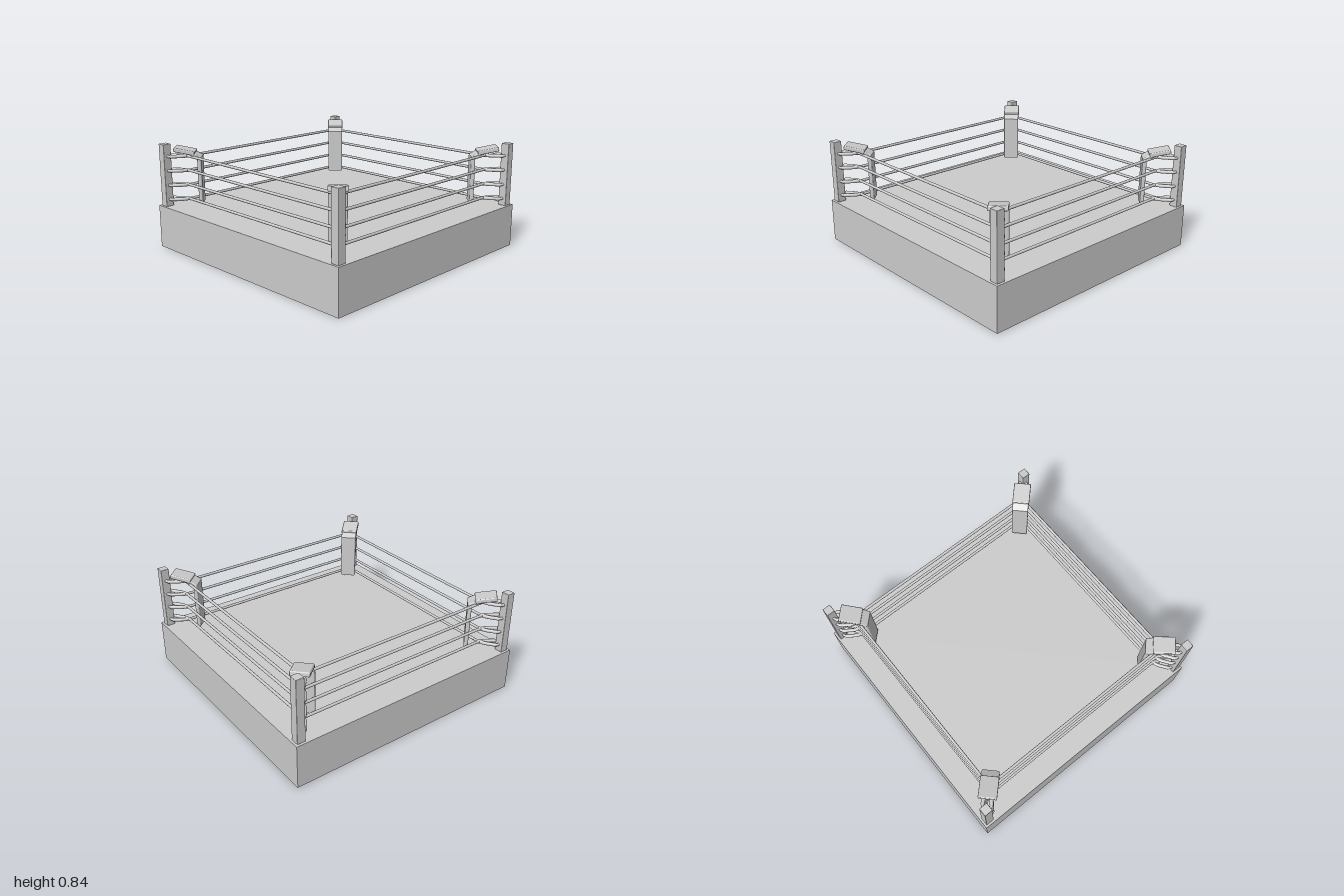
import * as THREE from 'three';
import { RoundedBoxGeometry } from 'three/addons/geometries/RoundedBoxGeometry.js';

const grey = new THREE.MeshStandardMaterial({ color: 0xcccccc });
const greyThin = new THREE.MeshStandardMaterial({ color: 0xcccccc, side: THREE.DoubleSide });

const DECK = 0.343;
const POST = 0.95;
const ROPE = 0.825;
const ROPE_HEIGHTS = [0.398, 0.513, 0.63, 0.745];

function add(parent, name, geometry, material = grey) {
  const mesh = new THREE.Mesh(geometry, material);
  mesh.name = name;
  parent.add(mesh);
  return mesh;
}

// Box shell without its bottom face
function platformGeometry() {
  const g = new THREE.BoxGeometry(2, DECK, 2);
  const index = Array.from(g.index.array);
  index.splice(18, 6);
  g.setIndex(index);
  g.clearGroups();
  return g.translate(0, DECK / 2, 0);
}

// Upright cushion whose top bends outwards; +z points away from the centre
function cushionGeometry() {
  const profile = new THREE.Shape([
    [1.053, 0.375], [1.085, 0.375], [1.085, 0.725],
    [1.145, 0.765], [1.13, 0.79], [1.053, 0.745],
  ].map(([r, y]) => new THREE.Vector2(r, y)));
  const width = 0.128, bevel = 0.01;
  const g = new THREE.ExtrudeGeometry(profile, {
    depth: width - 2 * bevel, bevelSize: bevel, bevelOffset: -bevel,
    bevelThickness: bevel, bevelSegments: 3,
  });
  return g.translate(0, 0, -width / 2 + bevel).rotateY(-Math.PI / 2);
}

// Bent rope end, from the post to the straight run
function ropeEnd(side) {
  return [[0.95, 0.925], [0.942, 0.895], [0.905, 0.868], [0.865, 0.842], [0.82, 0.827], [0.77, ROPE]]
    .map(([x, z]) => new THREE.Vector3(side * x, 0, z));
}

function createRope() {
  const rope = new THREE.Group();
  rope.name = 'rope';
  const run = new THREE.CylinderGeometry(0.011, 0.011, 1.56, 10);
  add(rope, 'ropeRun', run.rotateZ(Math.PI / 2).translate(0, 0, ROPE));
  for (const side of [-1, 1]) {
    const curve = new THREE.CatmullRomCurve3(ropeEnd(side));
    add(rope, 'ropeEnd', new THREE.TubeGeometry(curve, 20, 0.011, 10));
    // Thicker sleeve around the bend
    const sleeve = new THREE.CatmullRomCurve3(ropeEnd(side).slice(1, 5));
    add(rope, 'ropeSleeve', new THREE.TubeGeometry(sleeve, 14, 0.014, 10), greyThin);
  }
  return rope;
}

function createCornerPad() {
  const pad = new THREE.Group();
  pad.name = 'cornerPad';
  add(pad, 'uprightCushion', cushionGeometry());
  const top = add(pad, 'topCushion', new RoundedBoxGeometry(0.135, 0.034, 0.165, 3, 0.008));
  top.position.set(0, 0.79, 1.185);
  top.rotation.x = -0.2;
  return pad;
}

export function createModel() {
  const ring = new THREE.Group();
  ring.name = 'fightingRing';
  add(ring, 'platform', platformGeometry(), greyThin);

  // Each quarter holds one post, one corner pad and one side of ropes
  for (let i = 0; i < 4; i++) {
    const quarter = new THREE.Group();
    quarter.name = 'ringSide';
    quarter.rotation.y = i * Math.PI / 2;

    const post = add(quarter, 'cornerPost', new RoundedBoxGeometry(0.066, 0.5, 0.066, 2, 0.004));
    post.position.set(POST, DECK + 0.249, POST);

    const pad = createCornerPad();
    pad.rotation.y = Math.PI / 4;
    quarter.add(pad);

    for (const y of ROPE_HEIGHTS) {
      const rope = createRope();
      rope.position.y = y;
      quarter.add(rope);
    }
    ring.add(quarter);
  }
  return ring;
}
